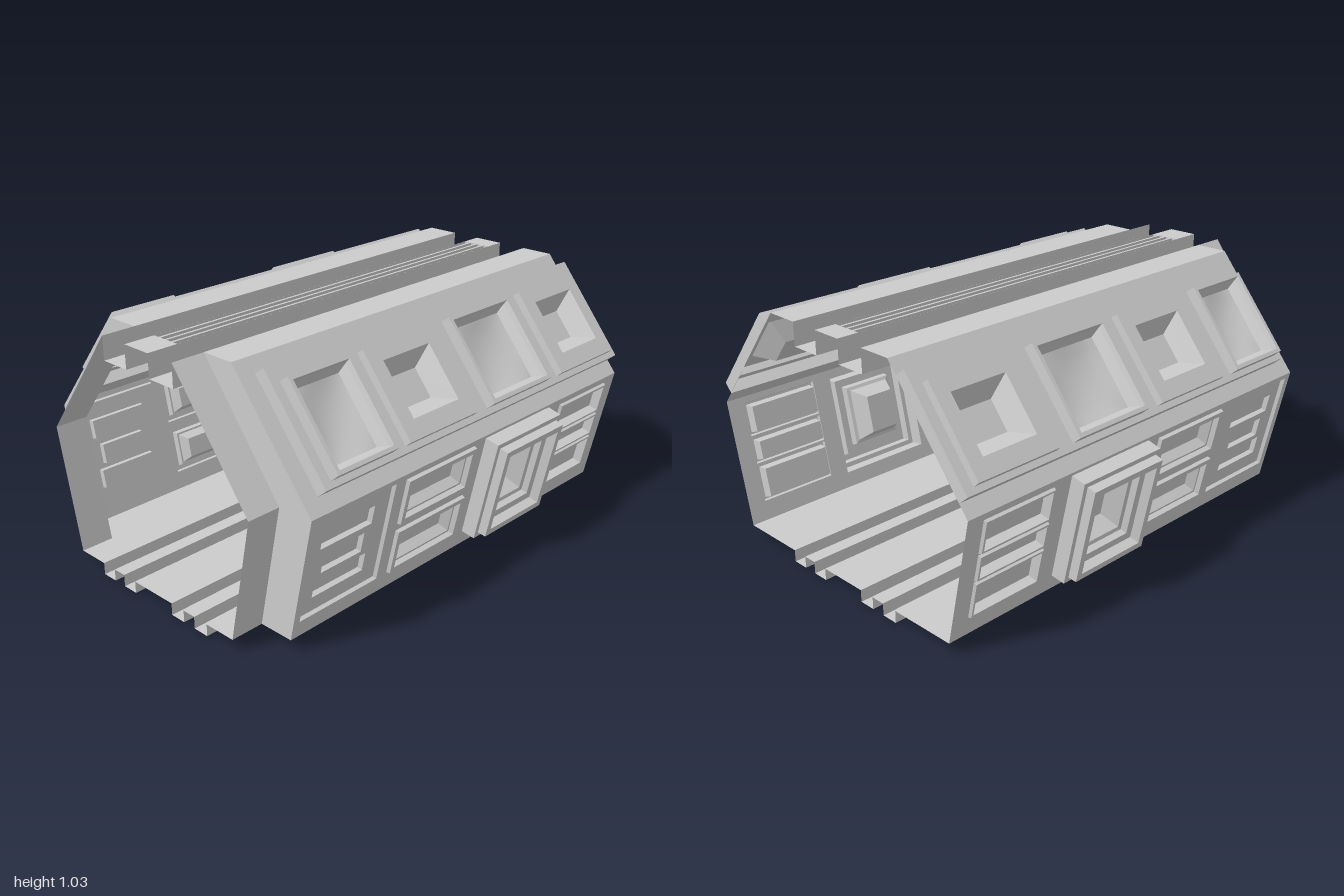
import * as THREE from 'three';
import { mergeGeometries } from 'three/addons/utils/BufferGeometryUtils.js';

const mat = new THREE.MeshStandardMaterial({ color: 0xcccccc, side: THREE.DoubleSide, flatShading: true });
const smoothMat = new THREE.MeshStandardMaterial({ color: 0xcccccc, side: THREE.DoubleSide });

function mesh(name, geo, material = mat) {
  const m = new THREE.Mesh(geo, material);
  m.name = name;
  return m;
}

// Triangles from a list of four-cornered faces
function quads(list) {
  const pos = [];
  for (const [a, b, c, d] of list) pos.push(...a, ...b, ...c, ...a, ...c, ...d);
  const g = new THREE.BufferGeometry();
  g.setAttribute('position', new THREE.Float32BufferAttribute(pos, 3));
  g.computeVertexNormals();
  return g;
}

// Sheet swept along x from a [z, y] profile
function strip(points, x0, x1) {
  const faces = [];
  for (let i = 0; i < points.length - 1; i++) {
    const [z0, y0] = points[i], [z1, y1] = points[i + 1];
    faces.push([[x0, y0, z0], [x1, y0, z0], [x1, y1, z1], [x0, y1, z1]]);
  }
  return quads(faces);
}

// A rectangle is [x0, x1, t0, t1, height]
const corners = ([x0, x1, t0, t1, h]) => [[x0, t0, h], [x1, t0, h], [x1, t1, h], [x0, t1, h]];
const inset = ([x0, x1, t0, t1, h], d, nh = h) => [x0 + d, x1 - d, t0 + d, t1 - d, nh];

// Flat sheet with a rectangular hole for each panel
function sheet(rect, holes) {
  const path = (r, P) => new P(corners(r).map(([x, y]) => new THREE.Vector2(x, y)));
  const shape = path(rect, THREE.Shape);
  for (const h of holes) shape.holes.push(path(h, THREE.Path));
  const g = new THREE.ShapeGeometry(shape).toNonIndexed();
  g.deleteAttribute('uv');
  return g.translate(0, 0, rect[4]);
}

// Nested rectangles joined into steps and bevels; the last is capped unless open
function steps(chain, open = false) {
  const faces = [];
  for (let i = 0; i < chain.length - 1; i++) {
    const a = corners(chain[i]), b = corners(chain[i + 1]);
    for (let k = 0; k < 4; k++) {
      const n = (k + 1) % 4;
      faces.push([a[k], a[n], b[n], b[k]]);
    }
  }
  if (!open) faces.push(corners(chain[chain.length - 1]));
  return quads(faces);
}

// Gently domed window pane filling a rectangle
function pane([x0, x1, t0, t1, h], bulge) {
  const g = new THREE.PlaneGeometry(x1 - x0, t1 - t0, 10, 10);
  const p = g.attributes.position;
  for (let i = 0; i < p.count; i++) {
    const u = 2 * p.getX(i) / (x1 - x0), v = 2 * p.getY(i) / (t1 - t0);
    p.setZ(i, bulge * (1 - u * u) * (1 - v * v));
  }
  g.computeVertexNormals();
  return g.translate((x0 + x1) / 2, (t0 + t1) / 2, h);
}

// Group whose local x runs along the hall, y up the slope and z outward
function onSlope(name, [z0, y0], [z1, y1]) {
  const g = new THREE.Group();
  g.name = name;
  g.rotation.x = Math.atan2(z1 - z0, y1 - y0);
  g.position.set(0, y0, z0);
  return g;
}

const START = -0.86;
const OUTER = [[0.6, 0.05], [0.71, 0.565], [0.335, 1.025]];
const INNER = [[0.45, 0.05], [0.555, 0.56], [0.195, 1.025]];

function lowerWall() {
  const g = onSlope('lowerWall', OUTER[0], OUTER[1]);
  const panels = [];
  const add = (name, chain) => { panels.push(chain[0]); g.add(mesh(name, steps(chain))); };

  // Slotted service panel: shallow recess with three pockets
  const bay = [-0.83, -0.43, 0.07, 0.505, 0];
  const floor = inset(bay, 0.004, -0.015);
  const slots = [[-0.77, -0.51, 0.14, 0.22], [-0.745, -0.54, 0.24, 0.325], [-0.77, -0.51, 0.355, 0.435]]
    .map(r => [...r, -0.015]);
  panels.push(bay);
  g.add(mesh('servicePanel', mergeGeometries([steps([bay, floor], true), sheet(floor, slots),
    ...slots.map(s => steps([s, inset(s, 0.003, -0.035)]))])));

  // Pair of framed pockets
  for (const t of [0.075, 0.305]) {
    const a = [-0.375, 0.02, t, t + 0.198, 0];
    add('framedPocket', [a, inset(a, 0.003, 0.015), inset(a, 0.022, 0.015), inset(a, 0.028, -0.005),
      inset(a, 0.036, -0.005), inset(a, 0.058, -0.04)]);
  }

  // Projecting stepped bay window
  const b = [0.085, 0.505, 0.065, 0.515, 0];
  add('bayWindow', [b, inset(b, 0.002, 0.06), inset(b, 0.022, 0.06), inset(b, 0.024, 0.096),
    inset(b, 0.05, 0.096), inset(b, 0.06, 0.06), inset(b, 0.092, 0.06), inset(b, 0.098, 0.035),
    inset(b, 0.112, 0.03), inset(b, 0.145, -0.04)]);

  // Three stacked recesses
  for (const [t0, t1] of [[0.08, 0.235], [0.242, 0.352], [0.36, 0.5]]) {
    const r = [0.59, 0.925, t0, t1, 0];
    add('stackedRecess', [r, inset(r, 0.004, 0.012), inset(r, 0.012, 0.012), inset(r, 0.018, -0.025)]);
  }
  g.add(mesh('wallSheet', sheet([START, 1, 0, 0.527, 0], panels)));
  return g;
}

function upperWall() {
  const g = onSlope('upperWall', OUTER[1], OUTER[2]);
  const base = [START, 1, 0, 0.5935, 0];
  const foot = [-0.79, 0.999, 0.064, 0.53, 0];
  const plate = inset(foot, 0.002, 0.05);
  const frames = [[-0.75, -0.44], [-0.37, 0.02], [0.105, 0.485], [0.57, 0.955]]
    .map(([x0, x1]) => [x0, x1, 0.09, 0.467, 0.05]);
  g.add(mesh('slopeSheet', sheet(base, [foot])));
  g.add(mesh('raisedPlate', mergeGeometries([steps([foot, plate], true), sheet(plate, frames)])));

  frames.forEach((f, i) => {
    if (i % 2 === 0) {
      // Large window with a domed pane
      const glass = inset(f, 0.042, 0.035);
      g.add(mesh('windowFrame', steps([f, inset(f, 0.002, 0.094), inset(f, 0.018, 0.094),
        inset(f, 0.024, 0.075), glass], true)));
      g.add(mesh('windowPane', pane(glass, -0.025), smoothMat));
    } else {
      // Plain plate with a tapering pocket
      const [x0, x1, t0, t1] = f;
      g.add(mesh('pocketPlate', steps([f, inset(f, 0.002, 0.08),
        [x0 + 0.07, x1 - 0.065, t0 + 0.075, t1 - 0.065, 0.08],
        [x0 + 0.115, x1 - 0.11, t0 + 0.13, t1 - 0.12, 0.0]])));
    }
  });
  return g;
}

function side() {
  const g = new THREE.Group();
  g.name = 'side';
  g.add(lowerWall(), upperWall());

  // Inset portal at one end and the step that joins it to the wall
  g.add(mesh('portal', strip(INNER, -1, START)));
  const ring = [];
  for (let i = 0; i < 2; i++) {
    ring.push([INNER[i], OUTER[i], OUTER[i + 1], INNER[i + 1]].map(([z, y]) => [START, y, z]));
  }
  g.add(mesh('portalStep', quads(ring)));

  // Roof edge, gutter and outer floor
  g.add(mesh('roofEdge', strip([OUTER[2], INNER[2]], START, 1)));
  g.add(mesh('gutter', strip([INNER[2], [0.195, 0.93], [0.065, 0.93], [0.065, 1.025]], -1, 1)));
  g.add(mesh('floorEdge', strip([OUTER[0], INNER[0]], START, 1)));

  // Floor with two hanging channels
  g.add(mesh('floor', strip([INNER[0], [0.31, 0.05], [0.31, 0], [0.24, 0], [0.24, 0.05],
    [0.18, 0.05], [0.18, 0], [0.11, 0], [0.11, 0.05], [0, 0.05]], -1, 1)));
  return g;
}

export function createModel() {
  const model = new THREE.Group();
  model.name = 'corridorSection';
  const front = side(), back = side();
  front.name = 'frontSide';
  back.name = 'backSide';
  back.scale.z = -1;
  model.add(front, back);

  // Ceiling spine with four closed grooves
  const grooves = [-0.0525, -0.0175, 0.0175, 0.0525].map(t => [-0.87, 0.91, t - 0.012, t + 0.012, 0]);
  const spine = mesh('ceilingSpine', mergeGeometries([sheet([-1, 1, -0.065, 0.065, 0], grooves),
    ...grooves.map(r => steps([r, inset(r, 0, -0.055)]))]));
  spine.rotation.x = -Math.PI / 2;
  spine.position.y = 1.025;
  model.add(spine);
  return model;
}
